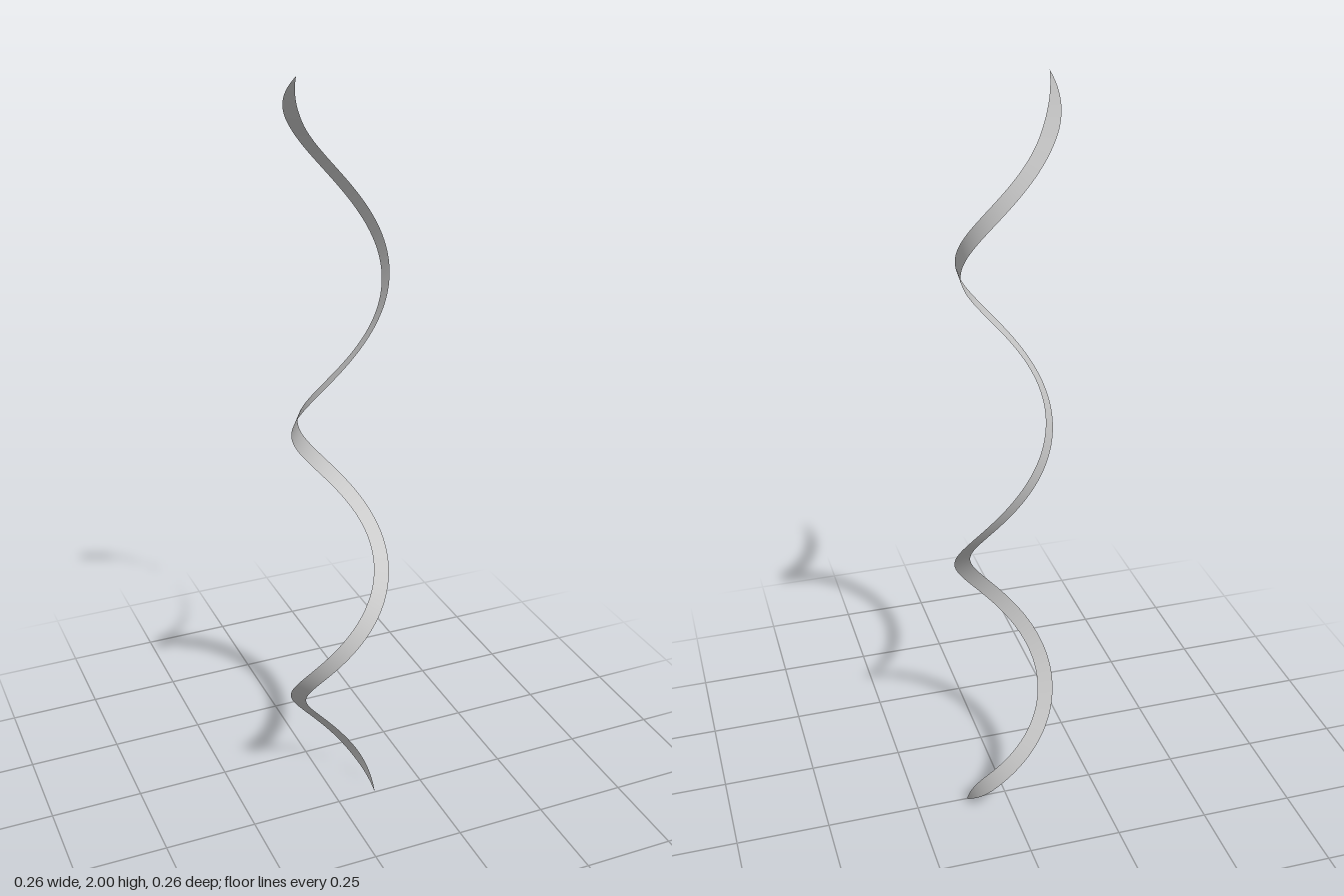
import * as THREE from 'three';

const HEIGHT = 2, RADIUS = 0.109, TURNS = 2.525, HALF_WIDTH = 0.0215;
const STEPS = 240, ACROSS = 2;
const START_ROLL = -0.19; // roll of the band at its lower tip
const TAPER = 0.06;       // share of the length that narrows at each tip

// Thin band winding up a helix, rolling steadily about its own path
function ribbonGeometry() {
  const rise = HEIGHT / (TURNS * Math.PI * 2);
  const slant = Math.hypot(RADIUS, rise);
  const positions = [], index = [];
  for (let i = 0; i <= STEPS; i++) {
    const t = i / STEPS, a = t * TURNS * Math.PI * 2;
    const s = Math.sin(a), c = Math.cos(a);
    const centre = new THREE.Vector3(RADIUS * c, rise * a, -RADIUS * s);
    const inward = new THREE.Vector3(-c, 0, s);
    const binormal = new THREE.Vector3(rise * s, RADIUS, rise * c).divideScalar(slant);
    // Twist-free sweep: the band turns against the helix by its torsion
    const roll = START_ROLL + a * rise / slant;
    const across = binormal.multiplyScalar(Math.cos(roll)).addScaledVector(inward, Math.sin(roll));
    const end = Math.min(1, Math.min(t, 1 - t) / TAPER);
    const half = HALF_WIDTH * Math.sin(end * Math.PI / 2);
    for (let j = 0; j <= ACROSS; j++) {
      const p = centre.clone().addScaledVector(across, half * (2 * j / ACROSS - 1));
      positions.push(p.x, p.y, p.z);
      if (i < STEPS && j < ACROSS) {
        const k = i * (ACROSS + 1) + j, n = k + ACROSS + 1;
        index.push(k, k + 1, n, k + 1, n + 1, n);
      }
    }
  }
  const geometry = new THREE.BufferGeometry();
  geometry.setAttribute('position', new THREE.Float32BufferAttribute(positions, 3));
  geometry.setIndex(index);
  geometry.computeVertexNormals();
  return geometry;
}

export function createModel() {
  const group = new THREE.Group();
  group.name = 'spiralRibbon';
  const material = new THREE.MeshStandardMaterial({ color: 0xcccccc, side: THREE.DoubleSide });
  const ribbon = new THREE.Mesh(ribbonGeometry(), material);
  ribbon.name = 'ribbon';
  group.add(ribbon);
  return group;
}
